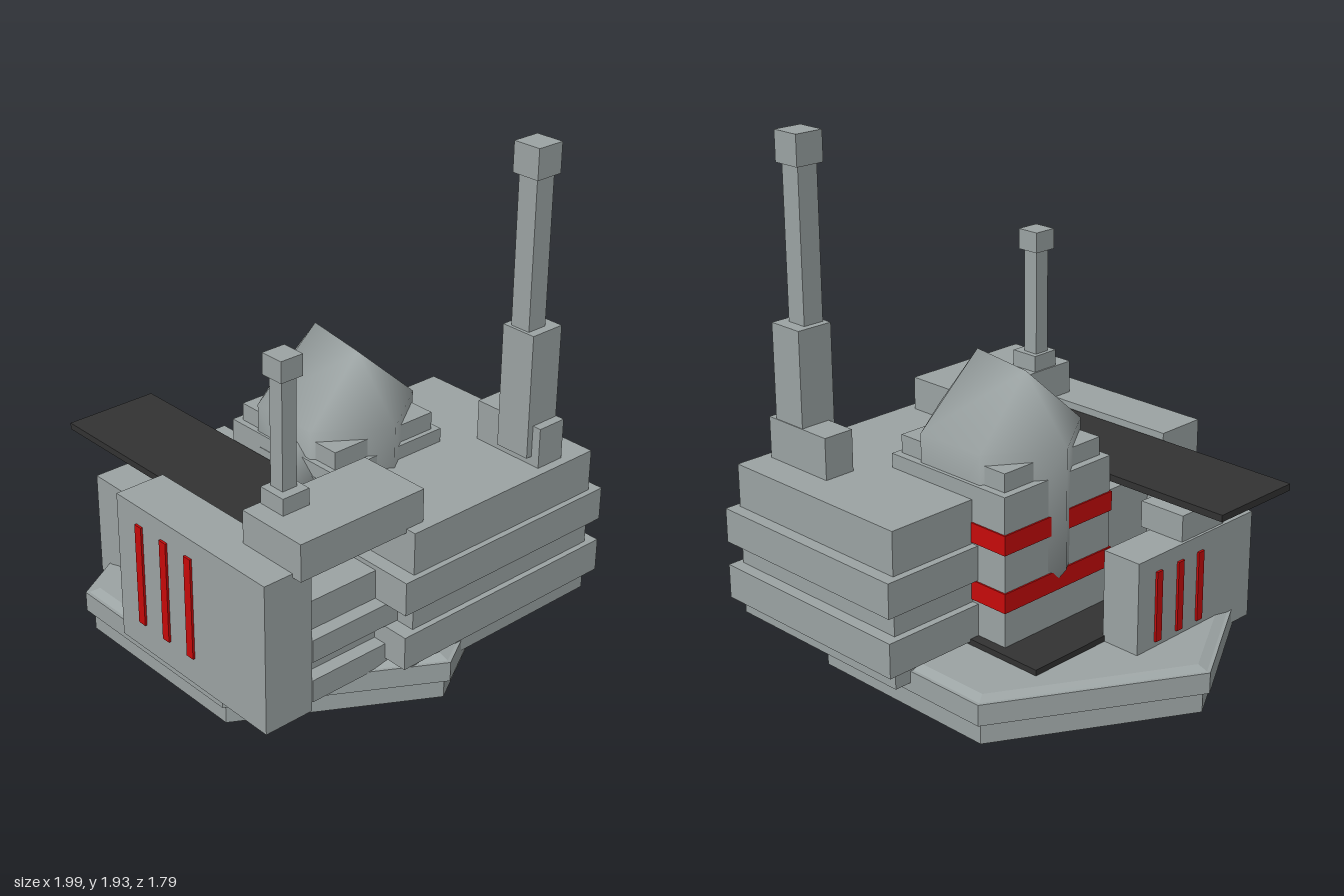
import * as THREE from 'three';
import { ConvexGeometry } from 'three/addons/geometries/ConvexGeometry.js';
import { mergeVertices } from 'three/addons/utils/BufferGeometryUtils.js';

const mat = (name, color) => new THREE.MeshStandardMaterial({ name, color });

export function createModel() {
  const metal = mat('grey metal', 0x9ca4a4);
  const black = mat('black panel', 0x323232);
  const red = mat('red light', 0xc80a0a);

  const model = new THREE.Group();
  const base = new THREE.Group();
  base.name = 'building';
  base.rotation.y = -Math.PI / 6; // the whole complex stands at an angle
  model.add(base);

  const add = (name, geo, material = metal) => {
    const m = new THREE.Mesh(geo, material);
    m.name = name;
    base.add(m);
    return m;
  };
  // Box given by its lower and upper limits on each axis
  const box = (name, x0, x1, y0, y1, z0, z1, material) => {
    const m = add(name, new THREE.BoxGeometry(x1 - x0, y1 - y0, z1 - z0), material);
    m.position.set((x0 + x1) / 2, (y0 + y1) / 2, (z0 + z1) / 2);
    return m;
  };
  // Square column around a centre
  const post = (name, x, z, size, y0, y1) =>
    box(name, x - size / 2, x + size / 2, y0, y1, z - size / 2, z + size / 2);
  // Smooth shaded hull
  const smoothHull = (points) => {
    const g = new ConvexGeometry(points.map((p) => new THREE.Vector3(...p)));
    g.deleteAttribute('normal');
    const merged = mergeVertices(g, 1e-4);
    merged.computeVertexNormals();
    return merged;
  };

  // Hexagonal foundation
  for (const [name, rTop, rBottom, y0, y1] of [
    ['lowerFoundation', 0.795, 0.795, 0, 0.085],
    ['upperFoundation', 0.825, 0.825, 0.085, 0.165],
    ['foundationTop', 0.77, 0.81, 0.165, 0.178],
  ]) {
    const geo = new THREE.CylinderGeometry(rTop, rBottom, y1 - y0, 6).toNonIndexed();
    geo.computeVertexNormals();
    const m = add(name, geo);
    m.rotation.y = Math.PI / 6;
    m.position.set(-0.12, (y0 + y1) / 2, -0.017);
  }

  // Main hall with two projecting bands
  box('mainHall', -0.2, 0.632, 0.12, 0.715, -0.8, 0.107);
  for (const y of [0.19, 0.415]) box('mainHallBand', -0.228, 0.655, y, y + 0.133, -0.848, 0.165);

  // Lower annex joining the main hall to the front block
  box('annex', -0.2, 0.5, 0.12, 0.53, 0.1, 0.52);
  for (const y of [0.16, 0.325]) box('annexBand', -0.2, 0.555, y, y + 0.09, 0.1, 0.505);

  // Front block with vertical lights
  box('frontBlock', -0.271, 0.549, 0.12, 0.715, 0.505, 0.711);
  for (const x of [-0.139, 0.003, 0.142]) box('frontLight', x - 0.018, x + 0.018, 0.23, 0.64, 0.711, 0.72, red);

  // Side block with vertical lights
  box('sideBlock', -0.7, -0.54, 0.11, 0.53, -0.12, 0.505);
  for (const z of [-0.015, 0.1, 0.21]) box('sideLight', -0.709, -0.7, 0.2, 0.47, z - 0.015, z + 0.015, red);
  box('panelSupport', -0.69, -0.5, 0.53, 0.63, 0.12, 0.35);

  // Central tower with red light bands
  box('tower', -0.36, 0.21, 0.17, 0.77, -0.43, 0.105);
  box('towerCap', -0.33, 0.19, 0.77, 0.84, -0.4, 0.08);
  for (const y of [0.335, 0.555]) box('towerLight', -0.366, 0.1, y, y + 0.075, -0.436, 0.111, red);

  // Faceted, smooth shaded dome that runs down through the tower
  const cx = -0.075, cz = -0.16;
  const dome = [];
  for (const [ridgeY, ringY] of [[1.13, 0.88], [0.18, 0.42]]) {
    for (const s of [-1, 1]) dome.push([cx + s * 0.145, ridgeY, cz + s * 0.025]);
    for (let i = 0; i < 6; i++) {
      const a = (i * Math.PI) / 3;
      const r = i % 3 === 0 ? 0.322 : 0.295;
      dome.push([cx + r * Math.cos(a), ringY, cz + r * Math.sin(a)]);
    }
  }
  add('dome', smoothHull(dome));
  add('towerSpur', smoothHull([
    [-0.17, 0.68, 0.09], [0.15, 0.68, 0.09], [0, 0.68, 0.23], [0, 0.83, 0.08], [0, 0.68, 0.02],
  ]));

  // Dark plates
  box('landingPanel', -0.866, 0.29, 0.664, 0.69, 0.115, 0.5, black);
  box('groundPlate', -0.548, -0.2, 0.17, 0.2, -0.47, 0.43, black);

  // Raised slab carrying the short mast
  box('mastSlab', 0.29, 0.59, 0.7, 0.845, 0.028, 0.588);
  post('shortMastFoot', 0.354, 0.454, 0.117, 0.845, 0.91);
  post('shortMast', 0.343, 0.45, 0.063, 0.91, 1.33);
  post('shortMastHead', 0.343, 0.45, 0.095, 1.325, 1.405);

  // Tall mast on the main hall
  box('tallMastFoot', 0.285, 0.595, 0.715, 0.875, -0.675, -0.55);
  post('tallMastLower', 0.486, -0.598, 0.147, 0.75, 1.24);
  post('tallMastUpper', 0.482, -0.58, 0.085, 1.24, 1.82);
  post('tallMastHead', 0.482, -0.58, 0.116, 1.815, 1.93);

  return model;
}
